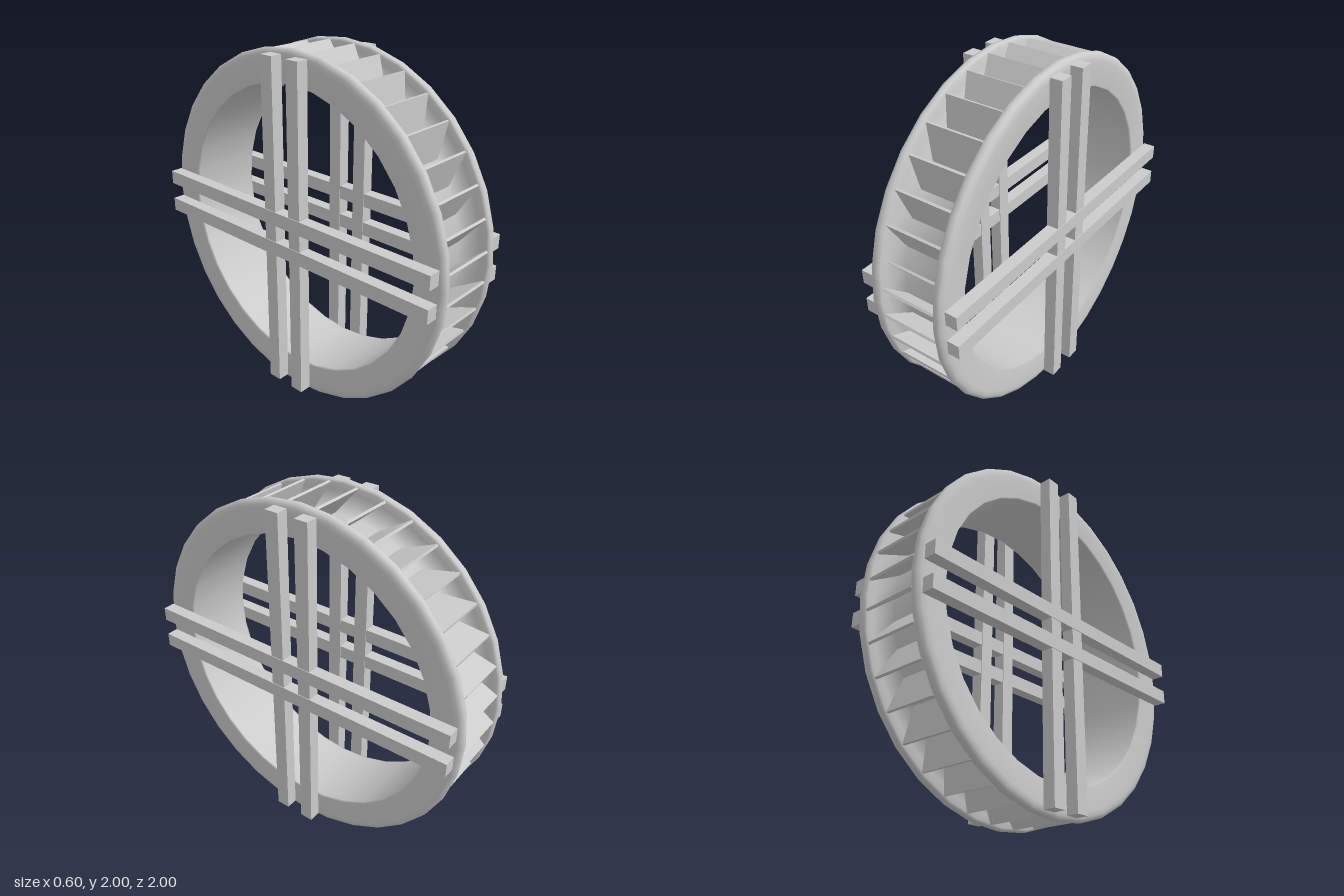
import * as THREE from 'three';

export function createModel() {
  const model = new THREE.Group();
  model.name = 'waterWheel';
  const material = new THREE.MeshStandardMaterial({ color: 0xcccccc });

  const add = (name, geometry, parent = model) => {
    const mesh = new THREE.Mesh(geometry, material);
    mesh.name = name;
    parent.add(mesh);
    return mesh;
  };

  // Drum: a ring with two rounded side rims and an open channel between them
  const half = [
    [0.835, 0.14], [0.95, 0.162], [0.985, 0.165], [0.997, 0.175],
    [1.0, 0.195], [0.995, 0.212], [0.975, 0.222], [0.95, 0.225],
    [0.825, 0.222], [0.82, 0.21],
  ];
  const profile = [
    ...half.slice().reverse().map(([r, x]) => new THREE.Vector2(r, -x)),
    ...half.map(([r, x]) => new THREE.Vector2(r, x)),
  ];
  profile.push(profile[0].clone());
  const drumGeometry = new THREE.LatheGeometry(profile, 32);
  drumGeometry.rotateZ(-Math.PI / 2);
  add('drum', drumGeometry).position.y = 1;

  // Paddles: thin tilted boards, narrower at the root
  const length = 0.2;
  const paddleGeometry = new THREE.BoxGeometry(0.33, 0.014, length);
  paddleGeometry.translate(0, 0, -length / 2);
  const p = paddleGeometry.attributes.position;
  for (let i = 0; i < p.count; i++) {
    if (p.getZ(i) < -length / 2) p.setX(i, p.getX(i) * 0.86);
  }
  paddleGeometry.computeVertexNormals();

  const paddles = new THREE.Group();
  paddles.name = 'paddles';
  model.add(paddles);
  const count = 36;
  const tilt = THREE.MathUtils.degToRad(35);
  for (let i = 0; i < count; i++) {
    const angle = ((i + 0.5) / count) * Math.PI * 2;
    const paddle = add('paddle', paddleGeometry, paddles);
    paddle.position.set(0, 1 + 0.985 * Math.sin(angle), 0.985 * Math.cos(angle));
    paddle.rotation.x = -(angle + tilt);
  }

  // Crossed pairs of spoke bars on each side
  const uprightGeometry = new THREE.BoxGeometry(0.07, 1.935, 0.08);
  const levelGeometry = new THREE.BoxGeometry(0.07, 0.08, 1.935);
  for (const side of [-1, 1]) {
    const spokes = new THREE.Group();
    spokes.name = side > 0 ? 'leftSpokes' : 'rightSpokes';
    model.add(spokes);
    for (const offset of [-0.09, 0.09]) {
      add('uprightBar', uprightGeometry, spokes).position.set(side * 0.26, 1, offset);
      add('levelBar', levelGeometry, spokes).position.set(side * 0.264, 1 + offset, 0);
    }
  }
  return model;
}
